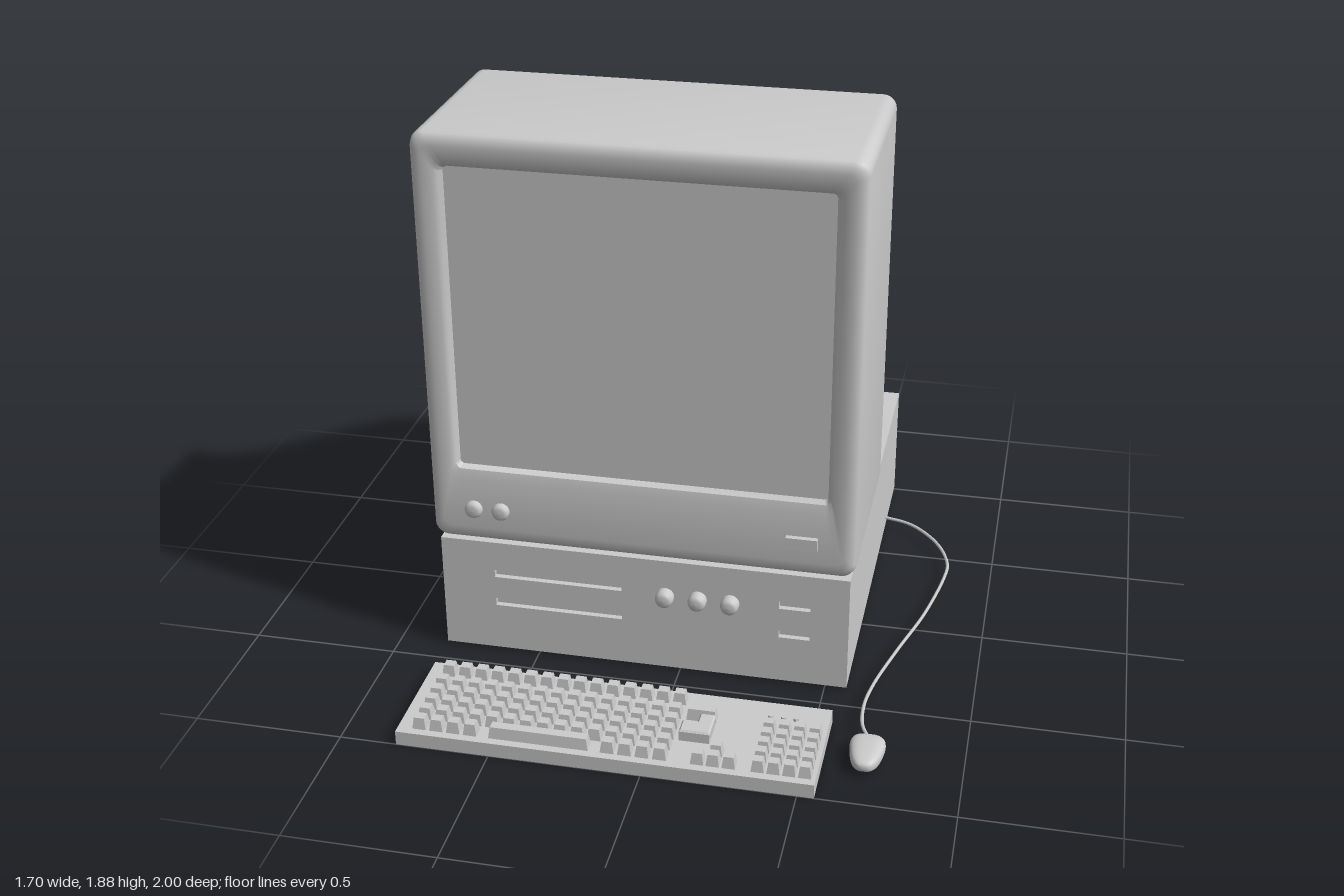
import * as THREE from 'three';
import { toCreasedNormals } from 'three/addons/utils/BufferGeometryUtils.js';

const grey = new THREE.MeshStandardMaterial({ color: 0xcccccc });

function add(parent, name, geometry, x = 0, y = 0, z = 0) {
  const mesh = new THREE.Mesh(geometry, grey);
  mesh.name = name;
  mesh.position.set(x, y, z);
  parent.add(mesh);
  return mesh;
}

// Box given by its limits
function span(parent, name, x0, x1, y0, y1, z0, z1) {
  return add(parent, name, new THREE.BoxGeometry(x1 - x0, y1 - y0, z1 - z0),
    (x0 + x1) / 2, (y0 + y1) / 2, (z0 + z1) / 2);
}

// Rounded rectangle outline, counter-clockwise seen from the front
function roundedRing([x0, x1, y0, y1, r, z]) {
  const corners = [[x1 - r, y1 - r], [x0 + r, y1 - r], [x0 + r, y0 + r], [x1 - r, y0 + r]];
  const steps = 6;
  return corners.flatMap(([cx, cy], k) => Array.from({ length: steps + 1 }, (_, i) => {
    const a = (k + i / steps) * Math.PI / 2;
    return [cx + r * Math.cos(a), cy + r * Math.sin(a), z];
  }));
}

// Skin over rounded rectangles listed from front to back, closed at the back
function loft(sections) {
  const rings = sections.map(roundedRing);
  const n = rings[0].length;
  const index = [];
  for (let s = 0; s < rings.length - 1; s++) {
    for (let i = 0; i < n; i++) {
      const j = (i + 1) % n, a = s * n, b = a + n;
      index.push(a + i, b + i, a + j, a + j, b + i, b + j);
    }
  }
  const [x0, x1, y0, y1, , z] = sections.at(-1);
  const last = (rings.length - 1) * n;
  for (let i = 0; i < n; i++) index.push(rings.length * n, last + (i + 1) % n, last + i);
  const points = [...rings.flat(2), (x0 + x1) / 2, (y0 + y1) / 2, z];
  const geometry = new THREE.BufferGeometry();
  geometry.setAttribute('position', new THREE.Float32BufferAttribute(points, 3));
  geometry.setIndex(index);
  return toCreasedNormals(geometry, 0.7);
}

// Domed round button pointing forward
function button(parent, name, x, y, z, r, depth) {
  const profile = [[r, 0], [r, depth * 0.6], [r * 0.85, depth * 0.88], [r * 0.5, depth * 0.98], [0, depth]]
    .map(p => new THREE.Vector2(...p));
  const geometry = new THREE.LatheGeometry(profile, 24).rotateX(Math.PI / 2);
  return add(parent, name, geometry, x, y, z);
}

function rectPath(x0, x1, y0, y1, Type = THREE.Path) {
  return new Type([[x0, y0], [x1, y0], [x1, y1], [x0, y1]].map(p => new THREE.Vector2(...p)));
}

function buildMonitor() {
  const g = new THREE.Group();
  g.name = 'monitor';
  const cx = -0.13;
  // Bezel lip, face, rounded edge and straight housing
  const housing = [
    [-0.75, 0.49, 0.715, 1.765, 0.015, 0.385],
    [-0.76, 0.50, 0.705, 1.775, 0.02, 0.407],
    [-0.775, 0.515, 0.67, 1.79, 0.03, 0.415],
    [-0.81, 0.55, 0.49, 1.84, 0.03, 0.42],
    [-0.833, 0.573, 0.457, 1.863, 0.04, 0.416],
    [-0.846, 0.586, 0.444, 1.876, 0.045, 0.404],
    [-0.85, 0.59, 0.44, 1.88, 0.045, 0.385],
    [-0.85, 0.59, 0.44, 1.88, 0.045, -0.25],
    [-0.845, 0.585, 0.445, 1.875, 0.045, -0.264],
    [-0.83, 0.57, 0.455, 1.86, 0.04, -0.272],
  ];
  add(g, 'housing', loft(housing));
  // Tapering tube cover: z, half width, bottom, top
  const cover = [
    [-0.265, 0.715, 0.45, 1.83], [-0.28, 0.68, 0.475, 1.80], [-0.305, 0.64, 0.515, 1.77],
    [-0.35, 0.59, 0.55, 1.73], [-0.40, 0.552, 0.58, 1.697], [-0.47, 0.512, 0.603, 1.66],
    [-0.55, 0.472, 0.622, 1.62], [-0.65, 0.423, 0.643, 1.573], [-0.74, 0.372, 0.662, 1.527],
    [-0.80, 0.334, 0.68, 1.493], [-0.83, 0.31, 0.698, 1.466], [-0.848, 0.29, 0.72, 1.44],
    [-0.857, 0.265, 0.75, 1.40],
  ];
  add(g, 'tubeCover', loft(cover.map(([z, w, y0, y1]) => [cx - w, cx + w, y0, y1, 0.04, z])));
  // Screen
  const outline = roundedRing([-0.752, 0.492, 0.713, 1.767, 0.015, 0]);
  const shape = new THREE.Shape(outline.map(([x, y]) => new THREE.Vector2(x, y)));
  add(g, 'screen', new THREE.ShapeGeometry(shape), 0, 0, 0.386);
  // Controls
  for (const x of [-0.702, -0.608]) button(g, 'monitorButton', x, 0.562, 0.41, 0.03, 0.032);
  span(g, 'powerSwitch', 0.36, 0.465, 0.542, 0.585, 0.41, 0.436);
  return g;
}

function buildCase() {
  const g = new THREE.Group();
  g.name = 'computerCase';
  span(g, 'caseBody', -0.83, 0.575, 0.01, 0.43, -1, 0.39);
  // Front plate with drive slots cut out
  const plate = rectPath(-0.83, 0.575, 0.01, 0.43, THREE.Shape);
  for (const y of [0.195, 0.308]) {
    plate.holes.push(rectPath(-0.645, -0.2, y - 0.014, y + 0.014));
    plate.holes.push(rectPath(0.34, 0.445, y - 0.014, y + 0.014));
  }
  add(g, 'frontPlate', new THREE.ExtrudeGeometry(plate, { depth: 0.02, bevelEnabled: false }), 0, 0, 0.39);
  for (const x of [-0.048, 0.064, 0.175]) button(g, 'caseButton', x, 0.295, 0.408, 0.031, 0.042);
  return g;
}

function buildKeyboard() {
  const g = new THREE.Group();
  g.name = 'keyboard';
  span(g, 'keyboardBase', -0.81, 0.555, 0, 0.05, 0.6, 1);
  // Key with sides that lean in towards the top
  const key = (x, z, w = 0.046, d = 0.043, name = 'key') => {
    const geometry = new THREE.BoxGeometry(w, 0.042, d);
    const p = geometry.attributes.position;
    for (let i = 0; i < p.count; i++) {
      if (p.getY(i) < 0) continue;
      p.setX(i, p.getX(i) - Math.sign(p.getX(i)) * 0.006);
      p.setZ(i, p.getZ(i) - Math.sign(p.getZ(i)) * 0.006);
    }
    geometry.computeVertexNormals();
    add(g, name, geometry, x, 0.069, z);
  };
  // Main block, with the space bar in the last row
  [0.65, 0.728, 0.784, 0.84, 0.896, 0.952].forEach((z, row) => {
    for (let i = 0; i < 15; i++) {
      if (row === 5 && i > 3 && i < 11) continue;
      key(-0.738 + i * 0.0567, z);
    }
  });
  key(-0.341, 0.952, 0.33, 0.043, 'spaceBar');
  key(0.145, 0.728, 0.1, 0.04, 'wideKey');
  // Angled key
  const angled = new THREE.Shape([[0.1, -0.855], [0.19, -0.855], [0.19, -0.76], [0.15, -0.76], [0.15, -0.805], [0.1, -0.805]]
    .map(p => new THREE.Vector2(...p)));
  add(g, 'angledKey', new THREE.ExtrudeGeometry(angled,
    { depth: 0.034, bevelThickness: 0.006, bevelSize: 0.005, bevelSegments: 1 }).rotateX(-Math.PI / 2), 0, 0.05, 0);
  // Arrow keys and number pad
  for (const [x, z] of [[0.227, 0.9], [0.177, 0.952], [0.227, 0.952], [0.278, 0.952]]) key(x, z, 0.044, 0.042, 'arrowKey');
  for (let r = 0; r < 5; r++) {
    for (let c = 0; c < 4; c++) key(0.37 + c * 0.05, 0.75 + r * 0.0505, 0.043, 0.042, 'numberKey');
  }
  // Indicator lights
  for (const x of [0.363, 0.405, 0.447]) {
    add(g, 'indicatorLight', new THREE.CylinderGeometry(0.009, 0.009, 0.012, 12), x, 0.054, 0.68);
  }
  return g;
}

function buildMouse() {
  const g = new THREE.Group();
  g.name = 'mouse';
  // Squared-off ball, narrower and lower towards the hand
  const geometry = new THREE.SphereGeometry(1, 32, 20);
  const p = geometry.attributes.position;
  const square = v => Math.sign(v) * Math.abs(v) ** 0.7;
  for (let i = 0; i < p.count; i++) {
    const z = square(p.getZ(i));
    p.setXYZ(i, square(p.getX(i)) * (0.054 - 0.013 * z), square(p.getY(i)) * (0.03 - 0.004 * z), z * 0.083);
  }
  geometry.computeVertexNormals();
  add(g, 'mouseBody', geometry, 0.69, 0.037, 0.788);
  // Cable to the side of the case
  const path = [[0.565, -0.7], [0.667, -0.668], [0.745, -0.6], [0.805, -0.51], [0.84, -0.4], [0.838, -0.32], [0.79, -0.05],
    [0.72, 0.2], [0.665, 0.42], [0.65, 0.54], [0.66, 0.65], [0.69, 0.715]].map(([x, z]) => new THREE.Vector3(x, 0.04, z));
  add(g, 'mouseCable', new THREE.TubeGeometry(new THREE.CatmullRomCurve3(path), 64, 0.006, 8));
  return g;
}

export function createModel() {
  const model = new THREE.Group();
  model.name = 'desktopComputer';
  model.add(buildMonitor(), buildCase(), buildKeyboard(), buildMouse());
  return model;
}
